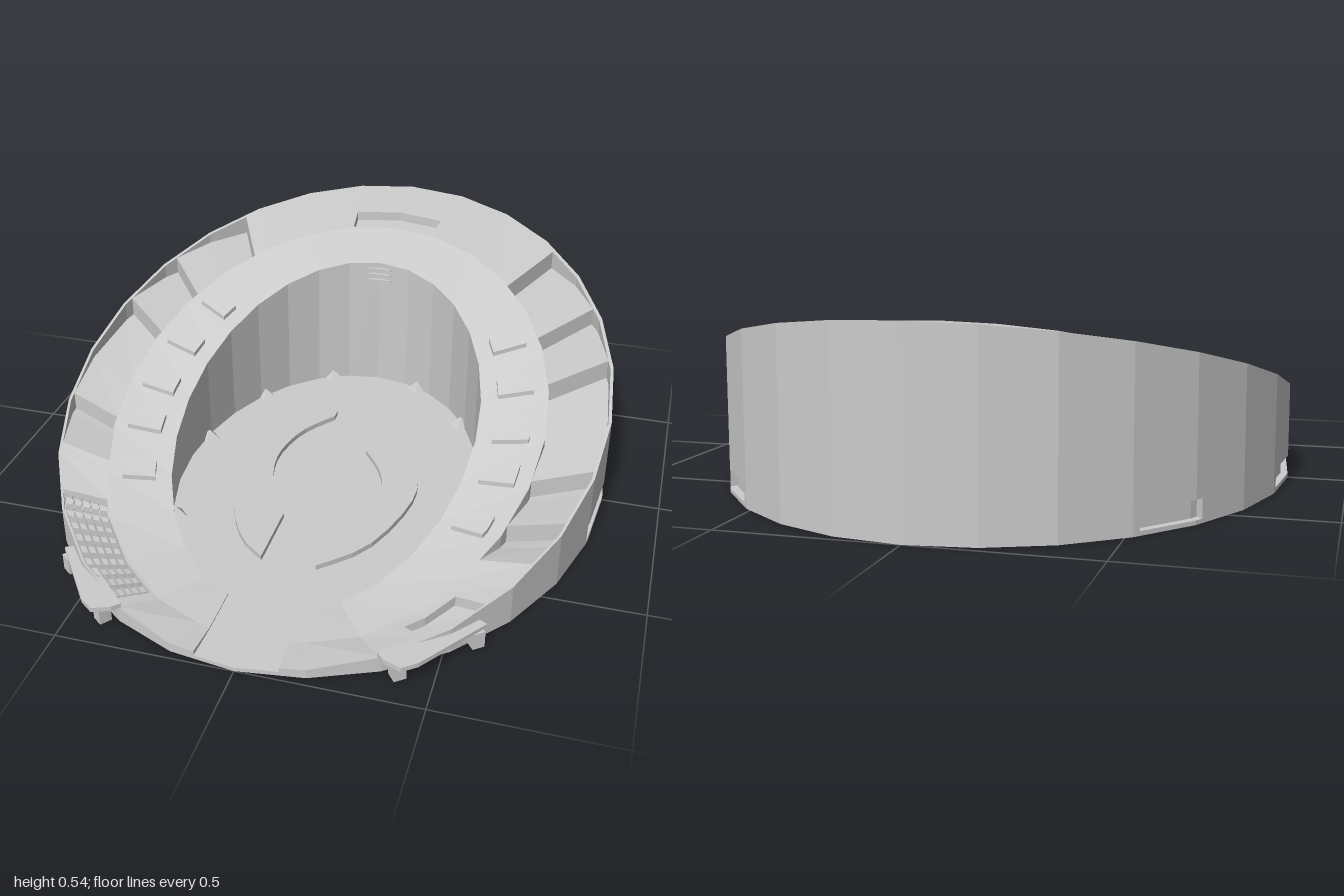
import * as THREE from 'three';

const STEP = 180 / 14, START = 8, RIM = 1.95;
// inner, middle and outer ovals: x radius, z radius, z centre, height at centre, slope along z
const RINGS = [[0.45, 0.63, 0.12, 0.222, 0.37], [0.65, 0.79, 0.10, 0.25, 0.323], [0.83, 1, 0, 0.278, 0.257]];
const lerp = THREE.MathUtils.lerp;

// point on a faceted oval; angle 0 is the front, 180 the back
function ringPoint(i, deg) {
  const [rx, rz, cz, h, slope] = RINGS[i];
  const k = Math.floor(deg / STEP + 1e-6), f = deg / STEP - k;
  const at = (fn, n) => fn(n * STEP * Math.PI / 180);
  const x = Math.max(0, rx * lerp(at(Math.sin, k), at(Math.sin, k + 1), f));
  const z = cz + rz * lerp(at(Math.cos, k), at(Math.cos, k + 1), f);
  return new THREE.Vector3(deg < 15 ? Math.max(0.11, x) : x, Math.max(0.016, h - slope * (z - cz)), z);
}

// roof surface: t = 0 inner, 1 middle, 2 outer edge
function roof(deg, t, lift = 0) {
  const i = Math.min(1, Math.floor(t));
  const p = ringPoint(i, deg).lerp(ringPoint(i + 1, deg), t - i);
  p.y = Math.max(0.008, p.y + lift);
  return p;
}

// angles from a to b, including every facet corner
function angles(a, b) {
  const list = [a];
  for (let k = 1; k < 14; k++) if (k * STEP > a + 0.01 && k * STEP < b - 0.01) list.push(k * STEP);
  return [...list, b];
}

export function createModel() {
  const model = new THREE.Group();
  model.name = 'ovalArena';
  const mat = new THREE.MeshStandardMaterial({ color: 0xcccccc, flatShading: true, side: THREE.DoubleSide });

  function add(parent, name, geo, x = 0, y = 0, z = 0) {
    const m = new THREE.Mesh(geo, mat);
    m.name = name;
    m.position.set(x, y, z);
    parent.add(m);
    return m;
  }

  for (const s of [1, -1]) {
    const half = new THREE.Group();
    half.name = s > 0 ? 'leftHalf' : 'rightHalf';
    model.add(half);

    // surface between two edge curves A(u) and B(u)
    const strip = (name, us, A, B) => {
      const pos = [];
      for (let i = 0; i + 1 < us.length; i++) {
        const q = [A(us[i]), B(us[i]), B(us[i + 1]), A(us[i + 1])];
        for (const j of s > 0 ? [0, 1, 2, 0, 2, 3] : [0, 2, 1, 0, 3, 2]) pos.push(s * q[j].x, q[j].y, q[j].z);
      }
      const g = new THREE.BufferGeometry();
      g.setAttribute('position', new THREE.Float32BufferAttribute(pos, 3));
      g.computeVertexNormals();
      add(half, name, g);
    };
    const band = (name, a, b, t0, t1) => strip(name, angles(a, b), d => roof(d, t0), d => roof(d, t1));

    // sunken (negative lift) or raised (positive lift) panel with its side walls
    const panel = (name, a, b, t0, t1, liftA, liftB = liftA) => {
      const L = d => lerp(liftA, liftB, (d - a) / (b - a));
      const us = angles(a, b);
      strip(name, us, d => roof(d, t0, L(d)), d => roof(d, t1, L(d)));
      for (const t of [t0, t1]) strip(name + 'Side', us, d => roof(d, t), d => roof(d, t, L(d)));
      for (const d of [a, b]) {
        if (d < 180 && L(d)) strip(name + 'End', [t0, t1], t => roof(d, t), t => roof(d, t, L(d)));
      }
    };

    // inner slope, rim and inner wall
    band('innerSlope', START, 180, 0, 1);
    band('outerRim', START, 180, RIM, 2);
    const ground = (p, y = 0) => p.setY(y);
    strip('innerWall', angles(START, 180), d => ground(ringPoint(0, d)), d => ringPoint(0, d));
    strip('entranceEnd', [0, 1, 2], t => ground(roof(START, t)), t => roof(START, t));

    // openings in the outer roof: from, to, t0, t1, lift at the front end, lift at the back end
    const cuts = [
      ...(s > 0 ? [[34, 46, 1.3, RIM, -0.025, -0.03], [57, 67, 1, RIM, 0, -0.055]]
        : [[28, 56, 1.08, RIM, -0.018, -0.035]]),
      [67, 79, 1, RIM, 0, -0.055], [79, 105, 1, RIM, 0, -0.06],
      [105, 119, 1, RIM, 0, -0.055], [119, 138, 1, RIM, 0, -0.06],
      [168, 180, 1.02, 1.36, -0.03, -0.03],
    ];
    let from = START;
    for (const [a, b, t0, t1, l0, l1] of cuts) {
      if (a > from) band('outerRoof', from, a, 1, RIM);
      if (t0 > 1) band('outerRoof', a, b, 1, t0);
      if (t1 < RIM) band('outerRoof', a, b, t1, RIM);
      panel(b === 180 ? 'backNotch' : 'terrace', a, b, t0, t1, l0, l1);
      from = b;
    }

    // gridded seating blocks
    if (s < 0) {
      for (let i = 0; i < 9; i++) for (let j = 0; j < 5; j++) {
        const a = 28.4 + i * 3.05, t = 1.1 + j * 0.168;
        panel('seatBlock', a, a + 2.75, t, t + 0.145, -0.012 - i * 0.001);
      }
    }

    // raised vents on the inner slope
    for (const d of [65, 79.5, 91.6, 105.5, 120]) panel('vent', d - 2.6, d + 2.6, 0.25, 0.78, 0.014);

    // outer wall with shallow doorways at its foot
    const doors = [[30, 43, 0.045], [76.7, 101.5, 0.065], [127, 140, 0.065]];
    const foot = (d, y, k = 1) => {
      const p = ringPoint(2, d);
      return p.set(p.x * k, Math.min(y, p.y), p.z * k);
    };
    let last = START;
    for (const [a, b, h] of doors) {
      const us = angles(a, b), k = 0.975;
      strip('outerWall', angles(last, a), d => foot(d, 0), d => foot(d, 9));
      strip('wallOverDoor', us, d => foot(d, h), d => foot(d, 9));
      strip('doorBack', us, d => foot(d, 0, k), d => foot(d, h, k));
      strip('doorLintel', us, d => foot(d, h, k), d => foot(d, h));
      for (const d of [a, b]) strip('doorJamb', [k, 1], q => foot(d, 0, q), q => foot(d, h, q));
      last = b;
    }
    strip('outerWall', angles(last, 180), d => foot(d, 0), d => foot(d, 9));

    // front side porch: thin canopy on two posts
    const canopy = new THREE.Shape([[0.35, -0.90], [0.37, -0.92], [0.42, -0.94], [0.46, -0.91], [0.60, -0.72], [0.56, -0.70]]
      .map(([x, y]) => new THREE.Vector2(s * x, y)));
    const cg = new THREE.ExtrudeGeometry(canopy, { depth: 0.014, bevelEnabled: false }).rotateX(-Math.PI / 2);
    add(half, 'porchCanopy', cg, 0, 0.048, 0);
    for (const [x, z] of [[0.405, 0.905], [0.575, 0.735]]) {
      add(half, 'porchPost', new THREE.BoxGeometry(0.035, 0.05, 0.035), s * x, 0.025, z).rotation.y = s * 0.65;
    }

    // small wedges at the foot of the inner wall
    for (const d of [60, 100, 130, 160]) {
      const p = ringPoint(0, d);
      add(half, 'wallWedge', new THREE.ConeGeometry(0.035, 0.03, 4), s * p.x * 0.98, 0.027, p.z);
    }
  }

  // ground slab
  add(model, 'groundSlab', new THREE.CylinderGeometry(1, 1, 0.012, 28).scale(0.83, 1, 1), 0, 0.006, 0);

  // two curved blades on the arena floor: outer edge, then inner edge back (x, z)
  const blades = {
    rightBlade: [[[-0.07, -0.23], [-0.2, -0.1], [-0.27, 0.1], [-0.24, 0.32], [-0.16, 0.49], [-0.07, 0.57]],
      [[-0.07, 0.36], [-0.14, 0.24], [-0.18, 0.08], [-0.15, -0.08], [-0.07, -0.2]]],
    leftBlade: [[[0.08, -0.23], [0.19, -0.11], [0.27, 0.06], [0.28, 0.22], [0.21, 0.44], [0.09, 0.57]],
      [[0.09, 0.54], [0.16, 0.38], [0.185, 0.2], [0.15, 0.07], [0.08, -0.03]]],
  };
  for (const [name, edges] of Object.entries(blades)) {
    const pts = edges.flatMap(e => new THREE.SplineCurve(e.map(([x, z]) => new THREE.Vector2(x, -z))).getPoints(14));
    const g = new THREE.ExtrudeGeometry(new THREE.Shape(pts), { depth: 0.016, bevelEnabled: false }).rotateX(-Math.PI / 2);
    add(model, name, g, 0, 0.012, 0);
  }

  // slats high on the back of the inner wall
  for (let i = 0; i < 3; i++) add(model, 'wallSlat', new THREE.BoxGeometry(0.08, 0.006, 0.012), 0, 0.395 + i * 0.02, -0.503);

  return model;
}
